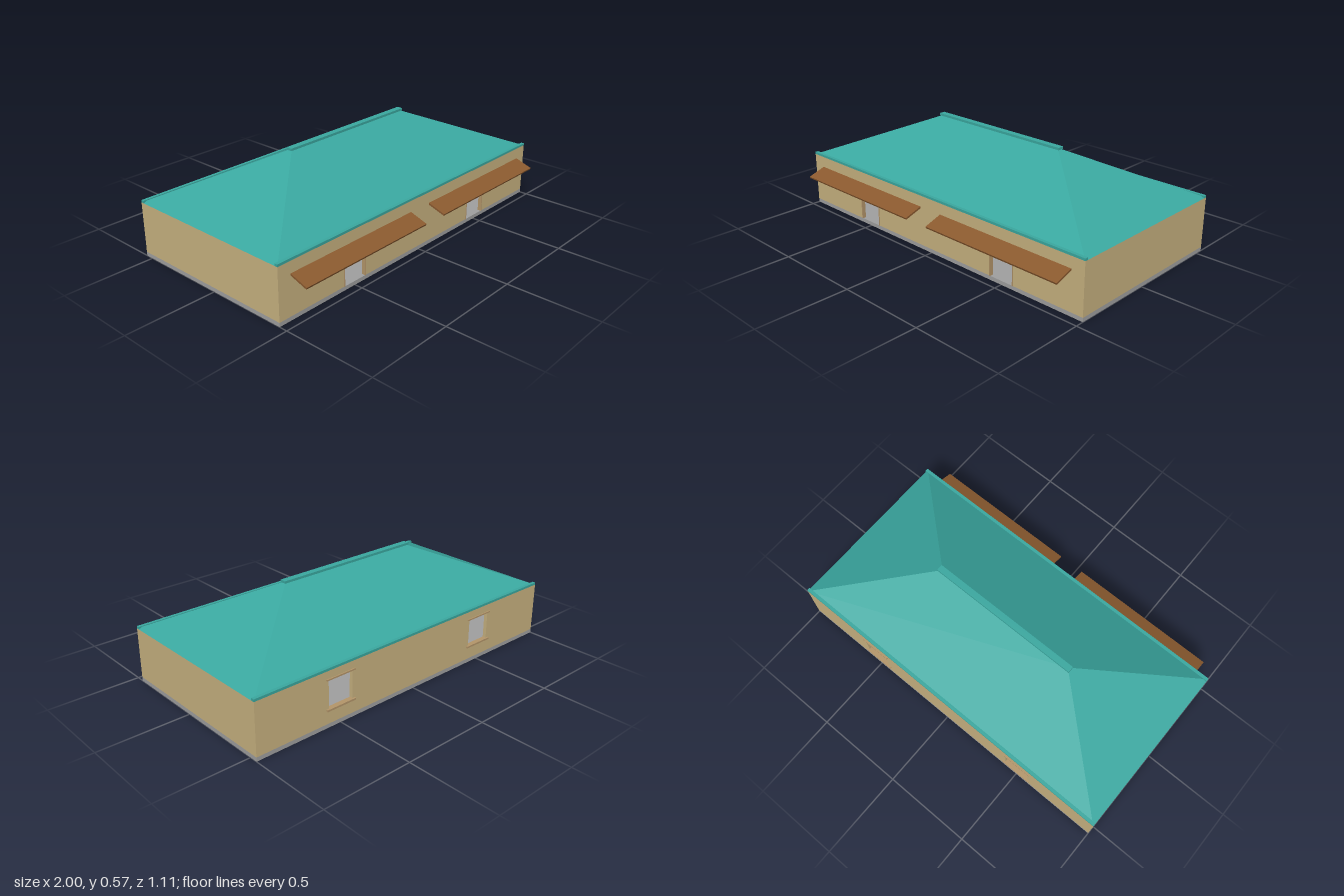
import * as THREE from 'three';

const material = (color) => new THREE.MeshStandardMaterial({ color, flatShading: true });

export function createModel() {
  const house = new THREE.Group();
  house.name = 'house';

  const wallMat = material(0xc8b280);
  const slabMat = material(0xa0a0a0);
  const roofMat = material(0x3aa8a0);
  const awningMat = material(0x8b5a2f);
  const trimMat = material(0xb4966a);

  // Main dimensions
  const front = 0.455, back = -0.545, middle = -0.045;
  const floor = 0.022, eave = 0.303, ridgeY = 0.557, ridgeX = 0.42;
  const thick = 0.02;
  const bays = [-0.5, 0.5];

  function add(name, geometry, mat, x = 0, y = 0, z = 0) {
    const mesh = new THREE.Mesh(geometry, mat);
    mesh.name = name;
    mesh.position.set(x, y, z);
    house.add(mesh);
    return mesh;
  }
  const box = (name, w, h, d, mat, x, y, z) =>
    add(name, new THREE.BoxGeometry(w, h, d), mat, x, y, z);

  // Floor slab
  box('floorSlab', 2, floor, 1, slabMat, 0, floor / 2, middle);

  // Long walls, pierced by a pair of openings each
  function longWall(name, bottom, top, z) {
    const shape = new THREE.Shape();
    shape.moveTo(-1, floor);
    if (bottom <= floor) {
      for (const x of bays) {
        shape.lineTo(x - 0.075, floor).lineTo(x - 0.075, top);
        shape.lineTo(x + 0.075, top).lineTo(x + 0.075, floor);
      }
    } else {
      for (const x of bays) {
        const hole = new THREE.Path();
        hole.moveTo(x - 0.075, bottom).lineTo(x - 0.075, top);
        hole.lineTo(x + 0.075, top).lineTo(x + 0.075, bottom).closePath();
        shape.holes.push(hole);
      }
    }
    shape.lineTo(1, floor).lineTo(1, eave).lineTo(-1, eave).closePath();
    add(name, new THREE.ExtrudeGeometry(shape, { depth: thick, bevelEnabled: false }), wallMat, 0, 0, z);
  }
  longWall('frontWall', floor, 0.232, front - thick);
  longWall('backWall', 0.1, 0.255, back);

  // End walls
  for (const s of [-1, 1]) {
    box(s > 0 ? 'leftWall' : 'rightWall', thick, eave - floor, 1 - 2 * thick, wallMat,
      s * (1 - thick / 2), (eave + floor) / 2, middle);
  }

  // Hipped roof: a box whose top is drawn in to the ridge line
  const roof = new THREE.BoxGeometry(2, ridgeY - eave, 1);
  const p = roof.attributes.position;
  for (let i = 0; i < p.count; i++) {
    if (p.getY(i) > 0) {
      p.setX(i, Math.sign(p.getX(i)) * ridgeX);
      p.setZ(i, 0);
    }
  }
  roof.computeVertexNormals();
  add('roof', roof, roofMat, 0, (ridgeY + eave) / 2, middle);

  // Ridge cap and eave boards
  box('ridgeCap', 0.88, 0.013, 0.035, roofMat, 0, 0.559, -0.046);
  box('frontEaveBoard', 2, 0.013, 0.018, roofMat, 0, 0.3095, front - 0.009);
  box('backEaveBoard', 2, 0.013, 0.018, roofMat, 0, 0.3095, back + 0.009);

  for (const x of bays) {
    // Sloping awning over the door
    const awning = box('awning', 0.85, 0.01, 0.106, awningMat, Math.sign(x) * 0.5, 0.22, 0.505);
    awning.rotation.x = 0.33;

    // Thin door jambs
    for (const s of [-1, 1]) {
      box('doorJamb', 0.005, 0.21, 0.022, trimMat, x + s * 0.0755, floor + 0.105, front - 0.008);
    }

    // Window sill and lintel
    box('windowSill', 0.18, 0.01, 0.028, trimMat, x, 0.098, back + 0.004);
    box('windowLintel', 0.18, 0.008, 0.02, trimMat, x, 0.258, back + 0.004);
  }

  return house;
}
